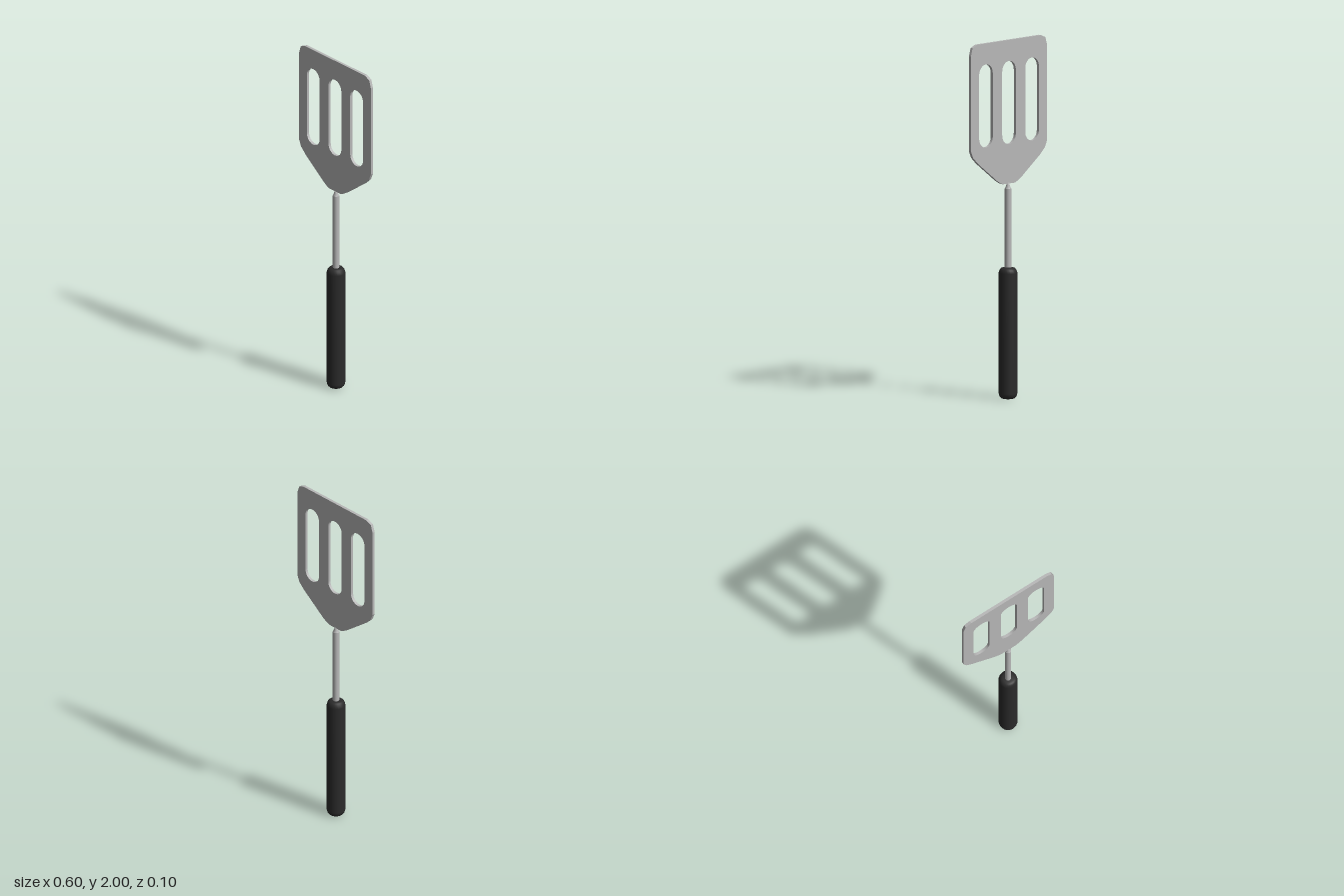
import * as THREE from 'three';

export function createModel() {
  const steel = new THREE.MeshStandardMaterial({ color: 0xb8b8b8 });
  steel.name = 'steel';
  const grip = new THREE.MeshStandardMaterial({ color: 0x2b2b2b });
  grip.name = 'black grip';

  const model = new THREE.Group();
  model.name = 'slottedTurner';
  const add = (name, geometry, material) => {
    const mesh = new THREE.Mesh(geometry, material);
    mesh.name = name;
    model.add(mesh);
    return mesh;
  };
  const lathe = (points, sides) =>
    new THREE.LatheGeometry(points.map(([r, y]) => new THREE.Vector2(r, y)), sides);

  // Blade: half outline from the bottom centre upwards, mirrored to the other side
  const half = [
    [0.045, 1.2], [0.068, 1.209], [0.095, 1.225], [0.243, 1.336], [0.281, 1.372],
    [0.298, 1.412], [0.298, 1.94], [0.284, 1.985], [0.248, 2],
  ];
  const outline = [...half, ...half.map(([x, y]) => [-x, y]).reverse()];
  const blade = new THREE.Shape(outline.map(([x, y]) => new THREE.Vector2(x, y)));

  // Three slots with rounded ends
  const r = 0.053, low = 1.42 + r, high = 1.883 - r;
  for (const x of [-0.18, 0, 0.18]) {
    const slot = new THREE.Path();
    slot.absarc(x, high, r, 0, Math.PI, false);
    slot.absarc(x, low, r, Math.PI, Math.PI * 2, false);
    slot.closePath();
    blade.holes.push(slot);
  }
  const thickness = 0.016;
  const bladeGeometry = new THREE.ExtrudeGeometry(blade, {
    depth: thickness, bevelEnabled: false, curveSegments: 10,
  });
  bladeGeometry.translate(0, 0, -thickness / 2);
  add('blade', bladeGeometry, steel);

  // Round shaft narrowing to a neck that meets the blade
  add('shaft', lathe([[0.018, 0.7], [0.018, 1.172]], 16), steel);
  add('neck', lathe([[0.018, 1.172], [0.01, 1.188], [0.008, 1.21], [0, 1.21]], 16), steel);

  // Handle grip with rounded ends
  const end = [[0, 0], [0.028, 0.001], [0.039, 0.005], [0.047, 0.014], [0.052, 0.032]];
  const top = end.map(([x, y]) => [x, 0.733 - y]).reverse();
  add('handle', lathe([...end, ...top], 24), grip);

  return model;
}
